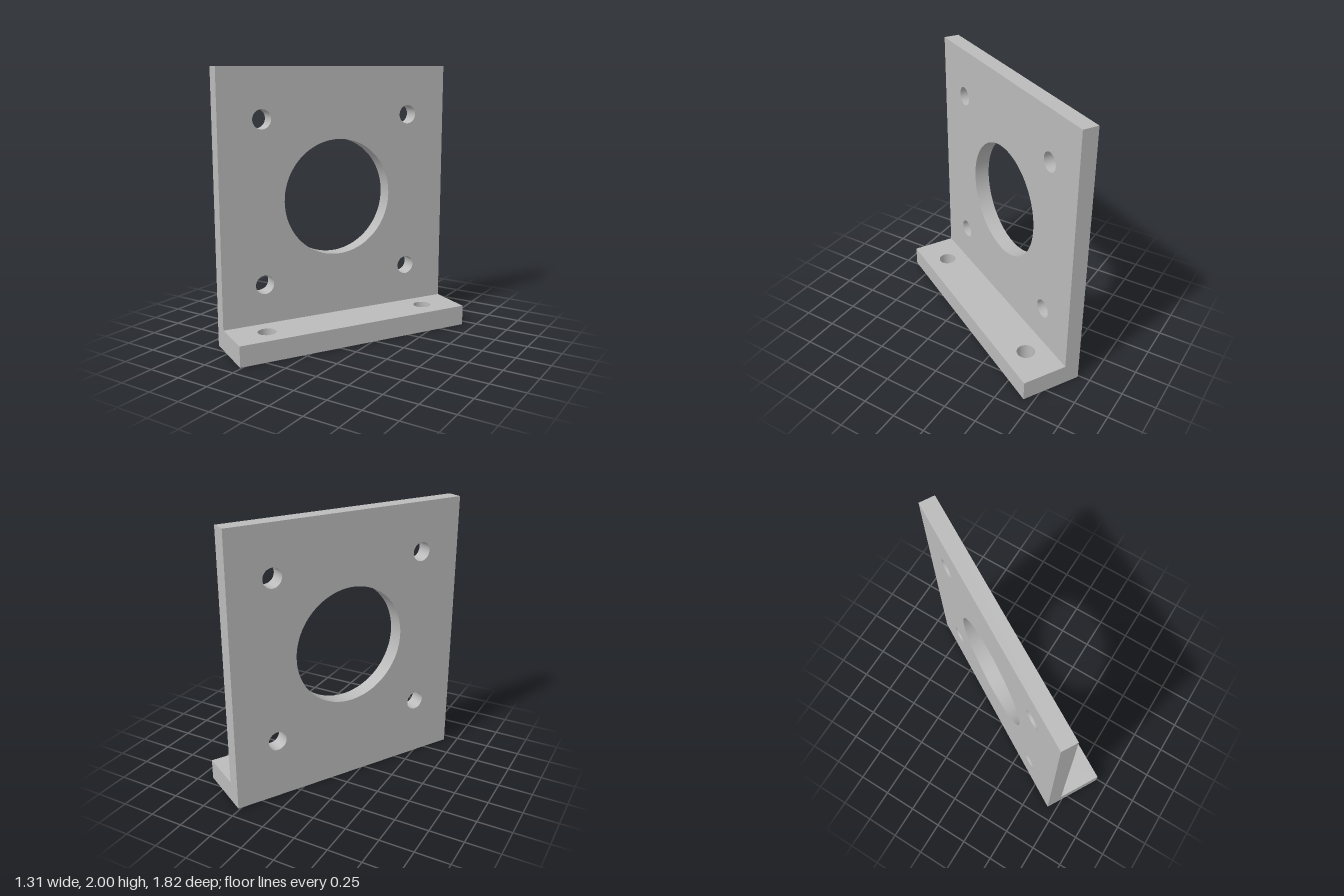
import * as THREE from 'three';
import { toCreasedNormals } from 'three/addons/utils/BufferGeometryUtils.js';

const LENGTH = 1.84, WIDTH = 0.456, HEIGHT = 2;
const WALL = 0.117, BASE = 0.152;

// Rectangular plate in XY with round through holes [x, y, radius], extruded along +z
function drilledPlate(y0, y1, depth, holes) {
  const h = LENGTH / 2;
  const shape = new THREE.Shape();
  shape.moveTo(-h, y0).lineTo(h, y0).lineTo(h, y1).lineTo(-h, y1).closePath();
  for (const [x, y, r] of holes) {
    shape.holes.push(new THREE.Path().absarc(x, y, r, 0, Math.PI * 2, true));
  }
  const geo = new THREE.ExtrudeGeometry(shape, { depth, bevelEnabled: false, curveSegments: 40 });
  return toCreasedNormals(geo, 0.6);
}

export function createModel() {
  const steel = new THREE.MeshStandardMaterial({ color: 0xbbbbbb });
  steel.name = 'light grey metal';

  const bracket = new THREE.Group();
  bracket.name = 'angleBracket';

  // Upright plate: large central bore and four screw holes
  const cy = 1.041, s = 0.596;
  const wallHoles = [[0, cy, 0.433]];
  for (const sx of [-1, 1]) for (const sy of [-1, 1]) wallHoles.push([sx * s, cy + sy * s, 0.07]);
  const wall = new THREE.Mesh(drilledPlate(BASE, HEIGHT, WALL, wallHoles), steel);
  wall.name = 'uprightPlate';
  wall.position.z = -WIDTH / 2;

  // Foot plate with two mounting holes
  const footHoles = [-1, 1].map((sx) => [sx * 0.653, -0.054, 0.067]);
  const footGeo = drilledPlate(-WIDTH / 2, WIDTH / 2, BASE, footHoles);
  footGeo.rotateX(-Math.PI / 2);
  const foot = new THREE.Mesh(footGeo, steel);
  foot.name = 'footPlate';

  bracket.add(wall, foot);
  bracket.rotation.y = Math.PI / 3;

  const model = new THREE.Group();
  model.name = 'mountingBracket';
  model.add(bracket);
  return model;
}
